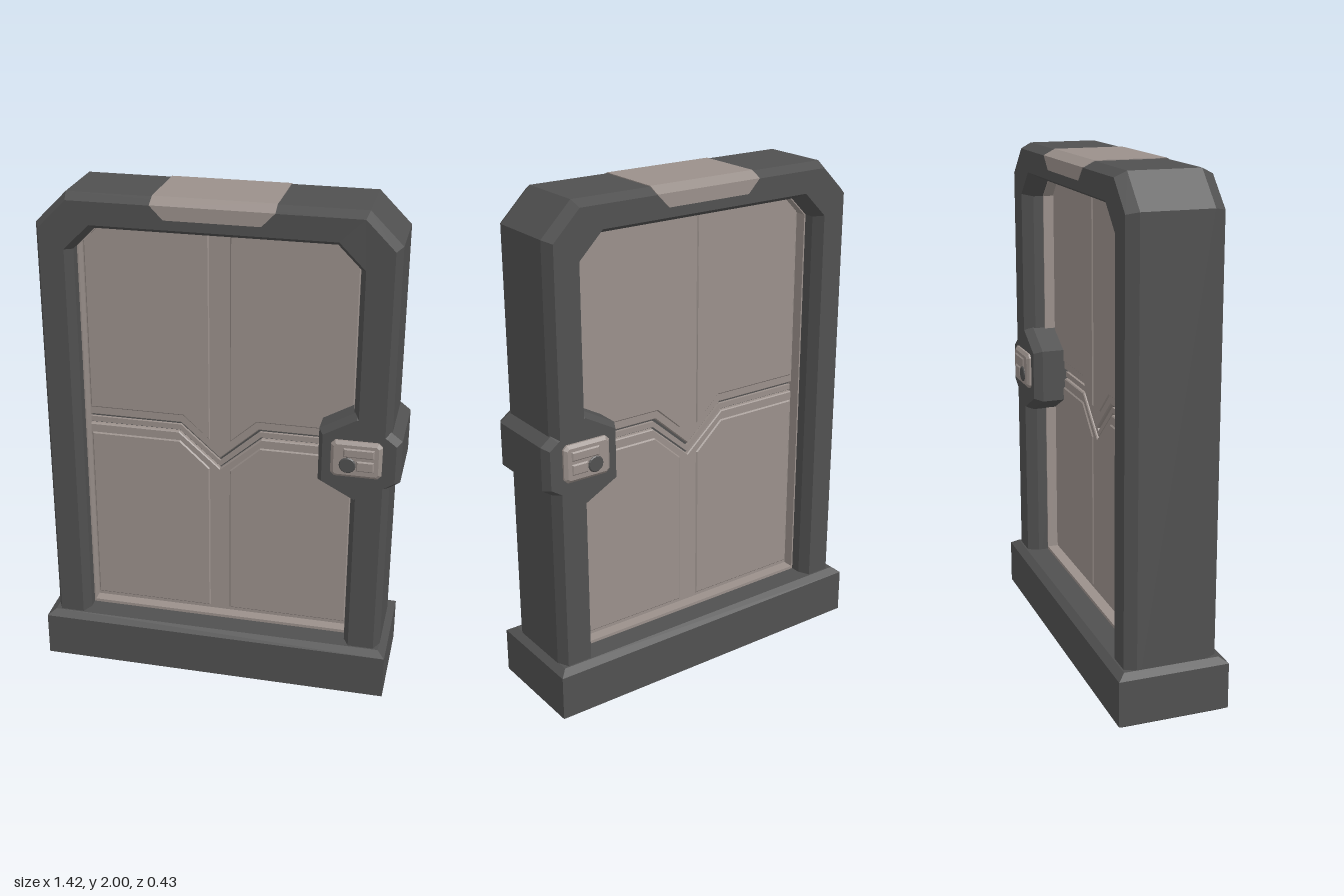
import * as THREE from 'three';

const dark = new THREE.MeshStandardMaterial({ color: 0x505050 });
dark.name = 'dark grey metal';
const taupe = new THREE.MeshStandardMaterial({ color: 0x9a908b });
taupe.name = 'warm grey metal';

// Bevelled outline extruded symmetrically about z = 0, so front and back match
function slab(name, pts, half, material, bevel = 0, bevelDepth = bevel, hole = null) {
  const shape = new THREE.Shape(pts.map(([x, y]) => new THREE.Vector2(x, y)));
  if (hole) shape.holes.push(new THREE.Path(hole.map(([x, y]) => new THREE.Vector2(x, y))));
  const depth = 2 * (half - bevelDepth);
  const geometry = new THREE.ExtrudeGeometry(shape, {
    depth, bevelEnabled: bevel > 0, bevelSegments: 1,
    bevelSize: bevel, bevelThickness: bevelDepth, bevelOffset: -bevel,
  });
  geometry.translate(0, 0, -depth / 2);
  const mesh = new THREE.Mesh(geometry, material);
  mesh.name = name;
  return mesh;
}

const rect = (x0, y0, x1, y1, c = 0) => c
  ? [[x0 + c, y0], [x1 - c, y0], [x1, y0 + c], [x1, y1 - c], [x1 - c, y1], [x0 + c, y1], [x0, y1 - c], [x0, y0 + c]]
  : [[x0, y0], [x1, y0], [x1, y1], [x0, y1]];

// Arch outline with cut upper corners
const arch = (x0, x1, y0, y1, c) =>
  [[x0, y0], [x1, y0], [x1, y1 - c], [x1 - c, y1], [x0 + c, y1], [x0, y1 - c]];

// V-shaped line across the door, left to right
const MID = -0.009;
const vee = (y, dip, knee) =>
  [[-0.56, y], [MID - knee, y], [MID, dip], [MID + knee, y], [0.54, y]];

function createDoor() {
  const door = new THREE.Group();
  door.name = 'door';

  // Two leaves meeting along a V-shaped seam with a rib in it
  door.add(slab('upperLeaf', [...vee(1.072, 0.932, 0.155), [0.54, 1.9], [-0.56, 1.9]], 0.05, taupe, 0.004));
  door.add(slab('lowerLeaf', [[-0.56, 0.15], [0.54, 0.15], ...vee(1.032, 0.887, 0.165).reverse()], 0.05, taupe, 0.004));
  door.add(slab('seamCore', rect(-0.56, 0.82, 0.54, 1.12), 0.032, dark));
  door.add(slab('seamRib', [...vee(1.039, 0.896, 0.162), ...vee(1.061, 0.92, 0.158).reverse()], 0.044, taupe));

  // Border around the leaves, standing forward of them
  door.add(slab('doorBorder', arch(-0.58, 0.56, 0.12, 1.9, 0.09), 0.095, taupe, 0, 0,
    arch(-0.535, 0.517, 0.232, 1.861, 0.08)));

  // Raised panels, mirrored about the door's centre line
  for (const s of [-1, 1]) {
    const side = s < 0 ? 'Right' : 'Left';
    const place = (pts) => {
      const out = pts.map(([x, y]) => [MID + s * x, y]);
      return s < 0 ? out.reverse() : out;
    };
    door.add(slab('upperPanel' + side,
      place([[0.04, 1.01], [0.147, 1.105], [0.522, 1.105], [0.522, 1.79], [0.46, 1.857], [0.04, 1.857]]),
      0.055, taupe, 0.005));
    door.add(slab('lowerPanel' + side,
      place([[0.04, 0.245], [0.522, 0.245], [0.522, 0.995], [0.16, 0.995], [0.04, 0.885]]),
      0.055, taupe, 0.005));
  }
  return door;
}

function createLock() {
  const lock = new THREE.Group();
  lock.name = 'lock';

  // Collar wrapped around the frame's left post
  lock.add(slab('lockHousing', [
    [0.395, 0.94], [0.54, 0.863], [0.665, 0.932], [0.708, 0.96],
    [0.708, 1.13], [0.665, 1.163], [0.54, 1.237], [0.395, 1.155],
  ], 0.18, dark, 0.018, 0.035));

  // Keypad on both faces
  lock.add(slab('keypad', rect(0.447, 0.985, 0.64, 1.132, 0.015), 0.198, taupe, 0.012, 0.01));
  lock.add(slab('keypadScreen', rect(0.495, 1.07, 0.612, 1.107), 0.203, taupe, 0.005));
  lock.add(slab('keypadButton', rect(0.545, 1.015, 0.612, 1.058), 0.203, taupe, 0.005));
  const dial = Array.from({ length: 16 }, (_, i) => {
    const a = (i / 16) * Math.PI * 2;
    return [0.512 + 0.032 * Math.cos(a), 1.037 + 0.032 * Math.sin(a)];
  });
  lock.add(slab('keypadDial', dial, 0.203, dark, 0.004));
  return lock;
}

// Bevelled cover plate wrapped over the lintel, narrowing down its two faces
function createTopCover() {
  const section = new THREE.Shape([
    [-0.183, 1.925], [0.183, 1.925], [0.183, 1.977], [0.138, 2], [-0.138, 2], [-0.183, 1.977],
  ].map(([z, y]) => new THREE.Vector2(z, y)));
  const geometry = new THREE.ExtrudeGeometry(section, { depth: 2, bevelEnabled: false });
  geometry.translate(0, 0, -1);
  geometry.rotateY(Math.PI / 2);
  const p = geometry.attributes.position;
  for (let i = 0; i < p.count; i++) {
    const width = p.getY(i) < 1.95 ? 0.178 : 0.228;
    p.setX(i, -0.007 + Math.sign(p.getX(i)) * width);
  }
  geometry.computeVertexNormals();
  const mesh = new THREE.Mesh(geometry, taupe);
  mesh.name = 'topCover';
  return mesh;
}

export function createModel() {
  const model = new THREE.Group();
  model.name = 'slidingDoor';

  // Threshold block
  const base = slab('base', rect(-0.71, -0.216, 0.696, 0.216), 0.11, dark, 0.03, 0.02);
  base.geometry.rotateX(-Math.PI / 2);
  base.geometry.translate(0, 0.11, 0);
  model.add(base);

  // Outer frame with bevelled opening
  model.add(slab('frame', arch(-0.68, 0.668, 0.1, 1.997, 0.122), 0.18, dark, 0.022, 0.044,
    arch(-0.541, 0.523, 0.15, 1.866, 0.085)));

  model.add(createTopCover(), createDoor(), createLock());
  return model;
}
